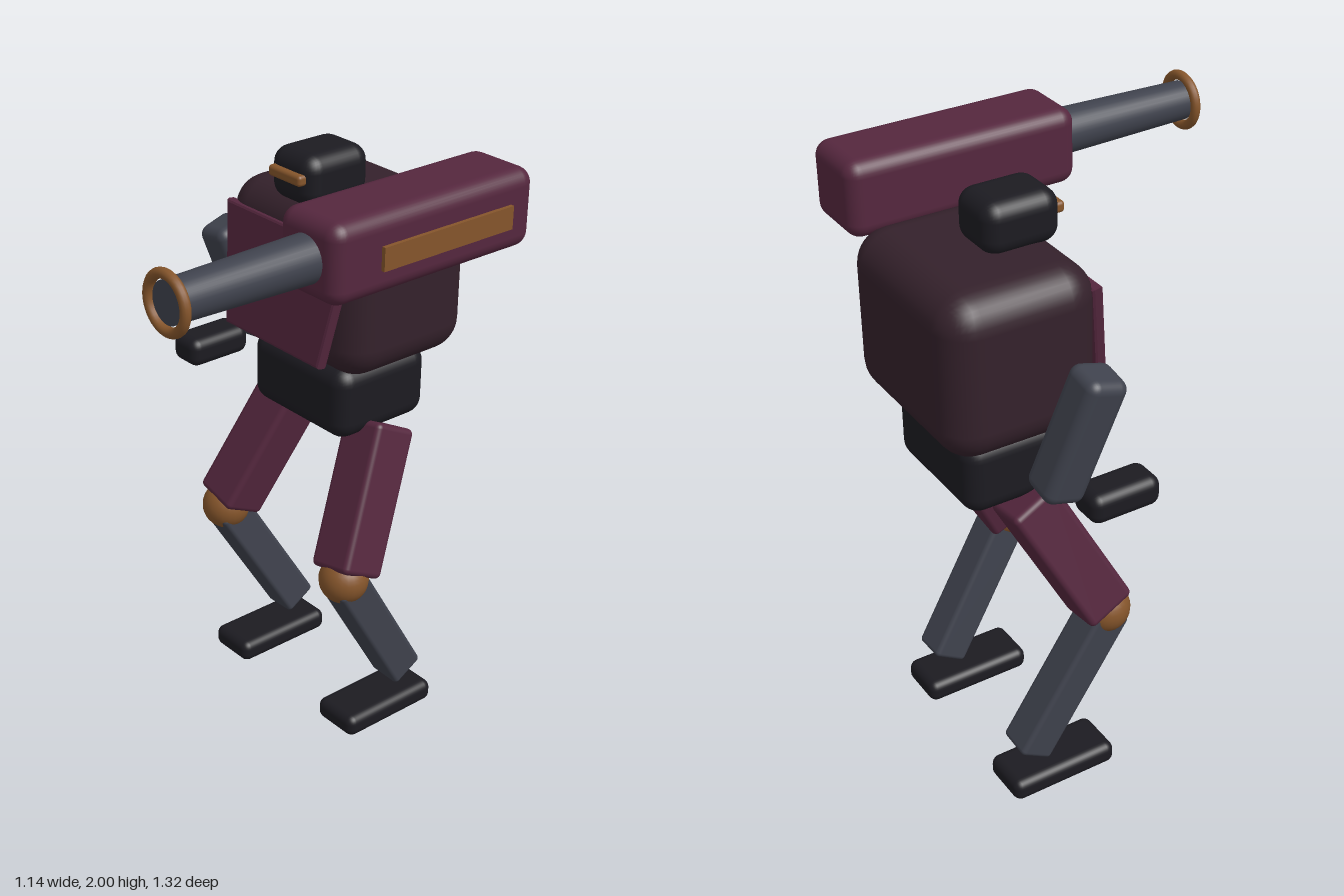
import * as THREE from 'three';
import { RoundedBoxGeometry } from 'three/addons/geometries/RoundedBoxGeometry.js';

const MID = -0.04; // x of the body's own centre line
const paint = (color) => new THREE.MeshStandardMaterial({ color });
const mats = {
  torso: paint(0x34212b),
  armour: paint(0x55273e),
  black: paint(0x1c1b21),
  steel: paint(0x3f424d),
  bronze: paint(0x85552b),
};

function add(parent, name, geometry, material, x, y, z) {
  const mesh = new THREE.Mesh(geometry, material);
  mesh.name = name;
  mesh.position.set(x, y, z);
  parent.add(mesh);
  return mesh;
}

// Rounded block given by its size and centre
function block(parent, name, material, [w, h, d], [x, y, z], radius) {
  return add(parent, name, new RoundedBoxGeometry(w, h, d, 4, radius), material, x, y, z);
}

// Rounded bar running between two points
function limb(parent, name, material, from, to, w, d, radius) {
  const a = new THREE.Vector3(...from), b = new THREE.Vector3(...to);
  const axis = a.clone().sub(b);
  const c = a.clone().add(b).multiplyScalar(0.5);
  const mesh = block(parent, name, material, [w, axis.length(), d], [c.x, c.y, c.z], radius);
  mesh.quaternion.setFromUnitVectors(new THREE.Vector3(0, 1, 0), axis.normalize());
  return mesh;
}

function addBody(root) {
  block(root, 'torso', mats.torso, [0.64, 0.535, 0.51], [MID, 1.57, -0.405], 0.11);
  block(root, 'pelvis', mats.black, [0.46, 0.25, 0.38], [MID, 1.185, -0.38], 0.06);
  block(root, 'head', mats.black, [0.205, 0.17, 0.255], [MID, 1.905, -0.283], 0.055);
  block(root, 'visor', mats.bronze, [0.15, 0.036, 0.04], [MID, 1.918, -0.155], 0.012);

  // Tapered chest plate, leaning out at the bottom
  const bevel = 0.01, h = 0.2 - bevel, top = 0.29 - bevel, low = 0.23 - bevel;
  const outline = new THREE.Shape([
    new THREE.Vector2(-low, -h), new THREE.Vector2(low, -h),
    new THREE.Vector2(top, h), new THREE.Vector2(-top, h),
  ]);
  const plate = new THREE.ExtrudeGeometry(outline, {
    depth: 0.02, bevelEnabled: true, bevelSize: bevel, bevelThickness: bevel, bevelSegments: 2,
  });
  plate.translate(0, 0, -0.01);
  add(root, 'chestPlate', plate, mats.armour, MID, 1.56, -0.135).rotation.x = -0.145;
}

function addArm(root) {
  const arm = new THREE.Group();
  arm.name = 'rightArm';
  limb(arm, 'forearm', mats.steel, [-0.5, 1.6, -0.26], [-0.435, 1.195, -0.385], 0.14, 0.14, 0.035);
  block(arm, 'hand', mats.black, [0.13, 0.1, 0.24], [-0.505, 1.172, -0.207], 0.035);
  root.add(arm);
}

function addLeg(root, side) {
  const leg = new THREE.Group();
  leg.name = side > 0 ? 'leftLeg' : 'rightLeg';
  leg.position.x = MID;
  limb(leg, 'thigh', mats.armour, [side * 0.207, 1.077, -0.38], [side * 0.306, 0.637, -0.158], 0.17, 0.17, 0.02);
  add(leg, 'knee', new THREE.SphereGeometry(0.083, 24, 16), mats.bronze, side * 0.31, 0.62, -0.147);
  limb(leg, 'shin', mats.steel, [side * 0.31, 0.62, -0.14], [side * 0.285, 0.142, -0.43], 0.125, 0.125, 0.016);
  block(leg, 'foot', mats.black, [0.18, 0.078, 0.38], [side * 0.285, 0.039, -0.33], 0.03);
  root.add(leg);
}

function addCannon(root) {
  const cannon = new THREE.Group();
  cannon.name = 'shoulderCannon';
  cannon.position.set(0.418, 1.877, 0);
  block(cannon, 'housing', mats.armour, [0.255, 0.25, 0.79], [0, 0, -0.229], 0.05);
  add(cannon, 'sidePlate', new THREE.BoxGeometry(0.013, 0.073, 0.51), mats.bronze, 0.142, 0, -0.255);
  const barrel = new THREE.CylinderGeometry(0.064, 0.076, 0.54, 32).rotateX(Math.PI / 2);
  add(cannon, 'barrel', barrel, mats.steel, 0, 0, 0.375);
  add(cannon, 'muzzleRing', new THREE.TorusGeometry(0.083, 0.016, 12, 40), mats.bronze, 0, 0, 0.645);
  root.add(cannon);
}

export function createModel() {
  const root = new THREE.Group();
  root.name = 'walkerRobot';
  addBody(root);
  addArm(root);
  for (const side of [-1, 1]) addLeg(root, side);
  addCannon(root);
  return root;
}
